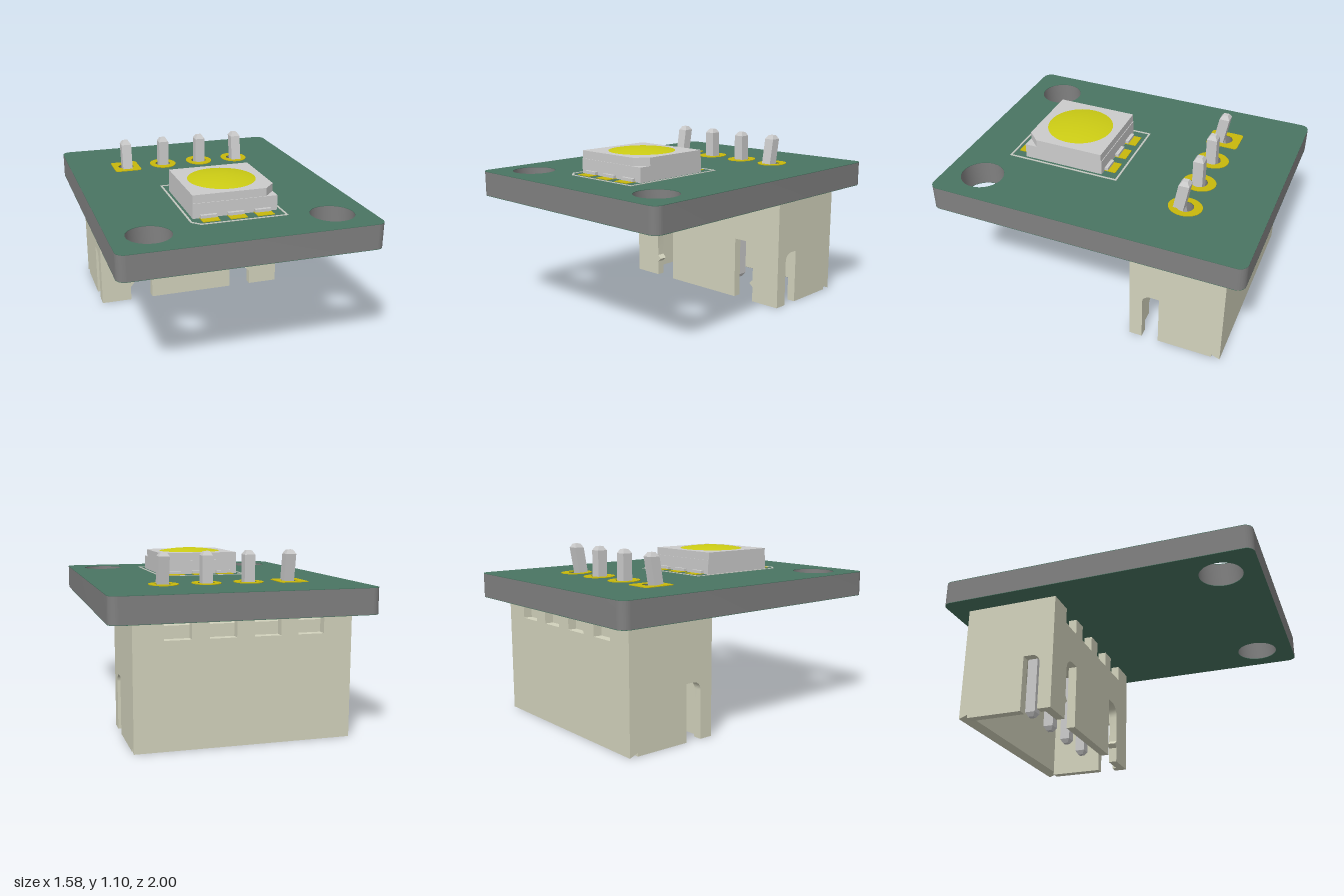
import * as THREE from 'three';
import { toCreasedNormals } from 'three/addons/utils/BufferGeometryUtils.js';

const mat = (color, extra = {}) => new THREE.MeshStandardMaterial({ color, ...extra });
const GREY = mat(0xcccccc);
const PIN = mat(0xcccccc, { flatShading: true });
const EDGE = mat(0x808080);
const MASK = mat(0x4a7462);
const GOLD = mat(0xc8b80c);
const LENS = mat(0xcccc14);
const SILK = mat(0xc4c8c0);
const PLASTIC = mat(0xd2d2bc);

const PIN_X = [-0.41, -0.145, 0.12, 0.383];
const PIN_Z = -0.515;
const BOARD = [0.75, 0.908];

const poly = (pts) => new THREE.Shape(pts.map(([x, y]) => new THREE.Vector2(x, y)));
const rect = (x0, x1, z0, z1) => poly([[x0, z0], [x1, z0], [x1, z1], [x0, z1]]);

function roundedRect(cx, cz, w, d, r) {
  const s = new THREE.Shape();
  const x0 = cx - w / 2, x1 = cx + w / 2, z0 = cz - d / 2, z1 = cz + d / 2;
  s.absarc(x1 - r, z0 + r, r, -Math.PI / 2, 0);
  s.absarc(x1 - r, z1 - r, r, 0, Math.PI / 2);
  s.absarc(x0 + r, z1 - r, r, Math.PI / 2, Math.PI);
  s.absarc(x0 + r, z0 + r, r, Math.PI, Math.PI * 1.5);
  s.closePath();
  return s;
}

function ellipse(cx, cz, rx, rz = rx) {
  const s = new THREE.Shape();
  s.absellipse(cx, cz, rx, rz, 0, Math.PI * 2);
  return s;
}

function add(parent, name, geometry, material) {
  const mesh = new THREE.Mesh(geometry, material);
  mesh.name = name;
  parent.add(mesh);
  return mesh;
}

function extrude(shape, depth) {
  return toCreasedNormals(new THREE.ExtrudeGeometry(shape, { depth, bevelEnabled: false, curveSegments: 16 }), 0.6);
}

// Plate drawn in x/z, filling y0..y1
const plate = (shape, y0, y1) => extrude(shape, y1 - y0).rotateX(Math.PI / 2).translate(0, y1, 0);

function box(parent, name, x0, x1, y0, y1, z0, z1, material) {
  const g = new THREE.BoxGeometry(x1 - x0, y1 - y0, z1 - z0);
  return add(parent, name, g.translate((x0 + x1) / 2, (y0 + y1) / 2, (z0 + z1) / 2), material);
}

function makeBoard() {
  const group = new THREE.Group();
  group.name = 'circuitBoard';
  const outline = roundedRect(0, 0, 1.575, 2, 0.055);
  for (const s of [-1, 1]) outline.holes.push(ellipse(s * 0.555, 0.76, 0.134));
  for (const x of PIN_X) outline.holes.push(ellipse(x, PIN_Z, 0.052));
  add(group, 'boardCore', plate(outline, BOARD[0] + 0.003, BOARD[1] - 0.003), EDGE);
  add(group, 'topMask', plate(outline, BOARD[1] - 0.003, BOARD[1]), MASK);
  add(group, 'bottomMask', plate(outline, BOARD[0], BOARD[0] + 0.003), MASK);

  // Ring pads around the pins, the first one square
  PIN_X.forEach((x, i) => {
    const pad = i ? ellipse(x, PIN_Z, 0.09, 0.105) : roundedRect(x, PIN_Z, 0.18, 0.21, 0.02);
    pad.holes.push(ellipse(x, PIN_Z, 0.052));
    add(group, 'pinPad', plate(pad, BOARD[1], 0.912), GOLD);
  });

  // Printed frame around the lamp
  const frame = poly([[-0.287, -0.035], [0.298, -0.035], [0.298, 0.71], [-0.236, 0.71], [-0.287, 0.66]]);
  frame.holes.push(poly([[-0.275, -0.023], [0.286, -0.023], [0.286, 0.698], [-0.231, 0.698], [-0.275, 0.655]]));
  add(group, 'printedFrame', plate(frame, BOARD[1], 0.911), SILK);
  return group;
}

function makeLamp() {
  const group = new THREE.Group();
  group.name = 'lamp';
  const x0 = -0.257, x1 = 0.268, z0 = 0.08, z1 = 0.6;
  add(group, 'lampBase', plate(rect(x0, x1, z0 - 0.004, z1 + 0.005), BOARD[1], 1.0), GREY);
  // Upper body with one cut corner
  const top = poly([[x0, z0], [x1, z0], [x1, z1 - 0.075], [x1 - 0.07, z1], [x0, z1]]);
  add(group, 'lampTop', plate(top, 1.0, 1.05), GREY);
  // Shallow lens as a sphere cap
  const r = 0.21, h = 0.02, R = (r * r + h * h) / (2 * h);
  const cap = new THREE.SphereGeometry(R, 48, 8, 0, Math.PI * 2, 0, Math.asin(r / R));
  add(group, 'lens', cap.translate(0.005, 1.05 + h - R, 0.34), LENS);
  // Contacts and solder pads along both edges
  for (const x of [-0.163, 0.005, 0.172]) {
    for (const s of [-1, 1]) {
      const z = (d) => 0.34 + s * d;
      const span = (a, b) => [Math.min(z(a), z(b)), Math.max(z(a), z(b))];
      box(group, 'contact', x - 0.05, x + 0.05, BOARD[1], 0.93, ...span(0.2, 0.286), GREY);
      box(group, 'lampPad', x - 0.053, x + 0.053, BOARD[1], 0.912, ...span(0.2, 0.337), GOLD);
    }
  }
  return group;
}

function makePin(x, kinked) {
  // Rows from the top down: height, half width, forward offset
  const k = kinked ? 0.033 : 0;
  const rows = [[1.1, 0.017, 0], [1.075, 0.033, 0], [0.89, 0.033, k], [0.75, 0.033, 0], [0.083, 0.033, 0], [0.057, 0.017, 0]];
  const g = new THREE.CylinderGeometry(Math.SQRT2, Math.SQRT2, rows.length - 1, 4, rows.length - 1).rotateY(Math.PI / 4);
  const p = g.attributes.position;
  for (let i = 0; i < p.count; i++) {
    const [y, half, dz] = rows[Math.round((rows.length - 1) / 2 - p.getY(i))];
    p.setXYZ(i, x + p.getX(i) * half, y, -0.51 + dz + p.getZ(i) * half);
  }
  g.computeVertexNormals();
  return g;
}

function makeSocket() {
  const group = new THREE.Group();
  group.name = 'socket';
  const x0 = -0.665, x1 = 0.64, mid = (x0 + x1) / 2, half = (x1 - x0) / 2;
  const zf = -0.265, zb = -0.87, t = 0.055, top = 0.74, roof = 0.53;

  // Wall outline with four notches on top; the bottom edge is given
  const wall = (bottom) => {
    const pts = [...bottom];
    for (const x of [...PIN_X].reverse()) {
      pts.push([x + 0.08, top], [x + 0.08, 0.635], [x - 0.08, 0.635], [x - 0.08, top]);
    }
    pts.push([x0, top]);
    return poly(pts);
  };

  // Front wall with two slots, each with a rounded outer corner and a latch bump
  const slot = [[-0.447, 0], [-0.447, 0.1], [-0.42, 0.125], [-0.447, 0.15], [-0.447, 0.33]];
  for (let i = 1; i <= 6; i++) {
    const a = (i / 6) * Math.PI / 2;
    slot.push([-0.367 - 0.08 * Math.cos(a), 0.33 + 0.08 * Math.sin(a)]);
  }
  slot.push([-0.292, 0.41], [-0.292, 0]);
  const left = slot.map(([x, y]) => [mid + x, y]);
  const right = slot.map(([x, y]) => [mid - x, y]).reverse();
  const front = wall([[x0, 0], ...left, ...right, [x1, 0], [x1, top]]);
  add(group, 'frontWall', extrude(front, t).translate(0, 0, zf - t), PLASTIC);

  // Back wall, its inner bottom edge bevelled
  const back = extrude(wall([[x0, 0], [x1, 0], [x1, top]]), t);
  const p = back.attributes.position;
  for (let i = 0; i < p.count; i++) {
    if (p.getY(i) < 0.001 && p.getZ(i) > t / 2) p.setY(i, 0.022);
  }
  back.computeVertexNormals();
  add(group, 'backWall', back.translate(0, 0, zb), PLASTIC);

  // Side walls with a slot, drawn in z/y
  const side = new THREE.Shape();
  side.moveTo(zb + t, 0);
  side.lineTo(-0.46, 0);
  side.lineTo(-0.46, 0.355);
  side.lineTo(-0.405, 0.355);
  side.absarc(-0.405, 0.3, 0.055, Math.PI / 2, 0, true);
  side.lineTo(-0.35, 0);
  side.lineTo(zf - t, 0);
  side.lineTo(zf - t, top);
  side.lineTo(zb + t, top);
  side.closePath();
  for (const s of [-1, 1]) {
    const g = extrude(side, t).rotateY(-Math.PI / 2);
    add(group, 'sideWall', g.translate(s < 0 ? x0 + t : mid + half, 0, 0), PLASTIC);
  }
  box(group, 'socketFloor', x0 + t, x1 - t, roof, 0.71, zb + t, zf - t, PLASTIC);
  return group;
}

export function createModel() {
  const model = new THREE.Group();
  model.name = 'lampModule';
  const pins = new THREE.Group();
  pins.name = 'pins';
  // The outer pins are kinked to hold the socket in the board
  PIN_X.forEach((x, i) => add(pins, 'pin', makePin(x, i === 0 || i === 3), PIN));
  model.add(makeBoard(), makeLamp(), makeSocket(), pins);
  return model;
}
